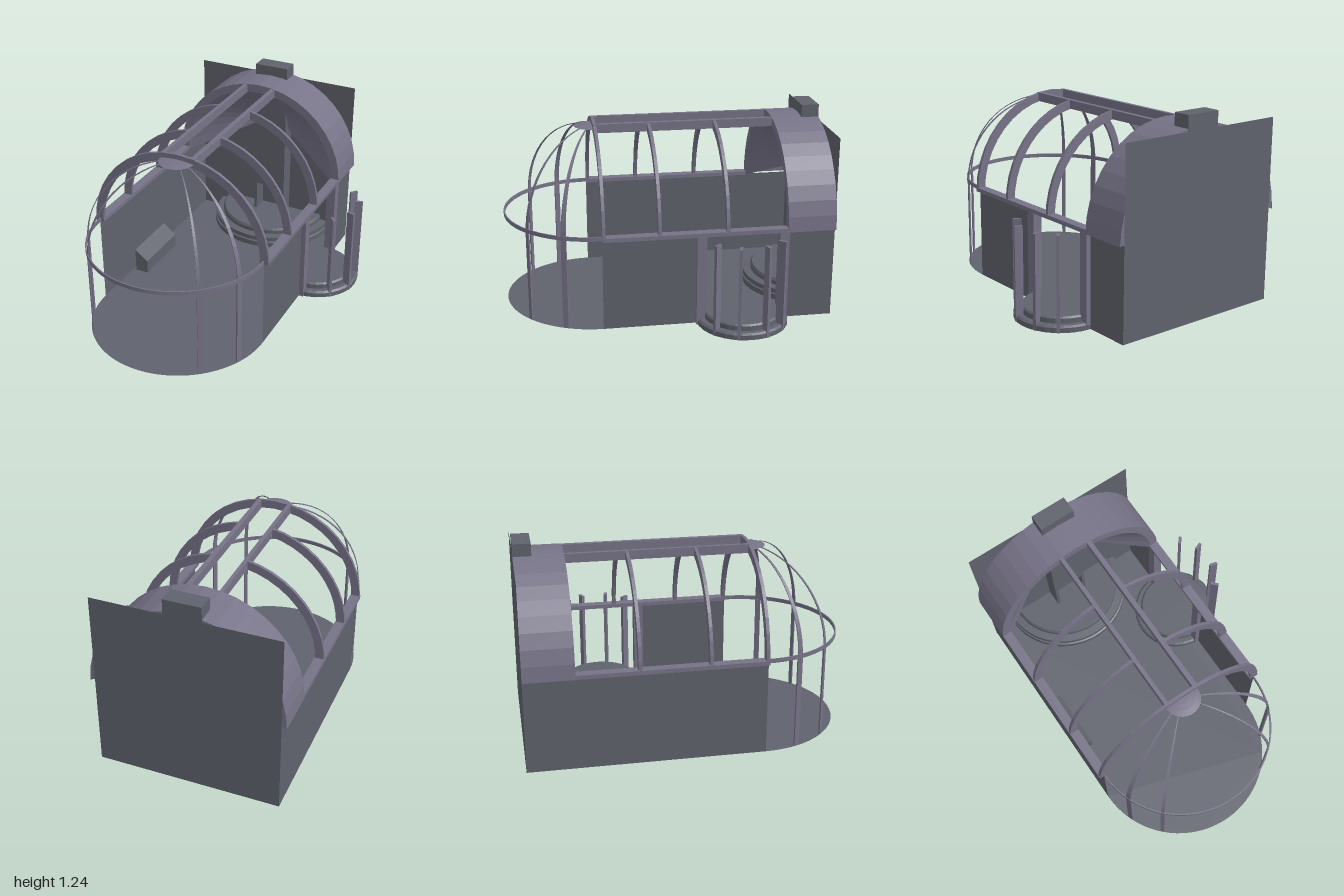
import * as THREE from 'three';

const CX = -0.13, SPRING = 0.575, APSE_Z = 0.43;

export function createModel() {
  const model = new THREE.Group();
  const material = (color) => new THREE.MeshStandardMaterial({ color, flatShading: true, side: THREE.DoubleSide });
  const slate = material(0x60636d), frame = material(0x777388);

  const add = (name, mat, geo, x = 0, y = 0, z = 0) => {
    const mesh = new THREE.Mesh(geo, mat);
    mesh.name = name;
    mesh.position.set(x, y, z);
    model.add(mesh);
    return mesh;
  };
  // Frame timber given by its minimum and maximum corners
  const beam = (name, x0, x1, y0, y1, z0, z1) =>
    add(name, frame, new THREE.BoxGeometry(x1 - x0, y1 - y0, z1 - z0), (x0 + x1) / 2, (y0 + y1) / 2, (z0 + z1) / 2);
  const extrude = (shape, depth, curveSegments = 12) =>
    new THREE.ExtrudeGeometry(shape, { depth, bevelEnabled: false, curveSegments });
  // Grid of triangles through rows of points with equal length
  const loft = (rows) => {
    const n = rows[0].length, index = [];
    for (let i = 0; i < rows.length - 1; i++)
      for (let j = 0; j < n - 1; j++) {
        const a = i * n + j, b = a + n;
        index.push(a, b, a + 1, a + 1, b, b + 1);
      }
    const geo = new THREE.BufferGeometry();
    geo.setAttribute('position', new THREE.Float32BufferAttribute(rows.flat(2), 3));
    geo.setIndex(index);
    geo.computeVertexNormals();
    return geo;
  };

  // Floor: hall with a semicircular apse
  const floor = new THREE.Shape();
  floor.moveTo(0.44, 1);
  floor.lineTo(-0.7, 1);
  floor.lineTo(-0.7, -APSE_Z);
  floor.absarc(CX, -APSE_Z, 0.57, Math.PI, 2 * Math.PI, false);
  add('floor', slate, new THREE.ShapeGeometry(floor, 20)).rotation.x = -Math.PI / 2;

  // Thin walls
  const wall = (name, x, z0, z1) => {
    add(name, slate, new THREE.PlaneGeometry(z1 - z0, SPRING), x, SPRING / 2, (z0 + z1) / 2).rotation.y = Math.PI / 2;
  };
  wall('solidSideWall', -0.7, -1, APSE_Z);
  wall('baySideWallFront', 0.44, -0.17, APSE_Z);
  wall('baySideWallBack', 0.44, -1, -0.68);
  add('backWall', slate, new THREE.PlaneGeometry(1.14, 1.145), CX, 1.145 / 2, -1);

  // Wall plates and bay jambs
  beam('wallPlate', 0.41, 0.47, SPRING, 0.6, -0.7, APSE_Z);
  beam('wallPlate', -0.73, -0.67, SPRING, 0.6, -0.7, APSE_Z);
  beam('bayJamb', 0.41, 0.47, 0, SPRING, -0.2, -0.14);
  beam('bayJamb', 0.41, 0.47, 0, SPRING, -0.71, -0.65);

  // Roof ribs and twin ridge beams
  const arch = (name, a0, a1, z, segments) => {
    const s = new THREE.Shape();
    s.absarc(0, 0, 0.598, a0, a1, false);
    s.absarc(0, 0, 0.545, a1, a0, true);
    add(name, frame, extrude(s, 0.02, segments), CX, SPRING, z);
  };
  arch('frontArch', 0, Math.PI, 0.41, 10);
  const crown = Math.acos(0.1 / 0.57);
  for (const z of [0.075, -0.34]) {
    arch('roofRib', 0, crown, z, 5);
    arch('roofRib', Math.PI - crown, Math.PI, z, 5);
  }
  beam('ridgeBeam', -0.24, -0.215, 1.11, 1.165, -0.7, APSE_Z);
  beam('ridgeBeam', -0.045, -0.015, 1.11, 1.165, -0.7, APSE_Z);

  // Rear vault: barrel outside, funnel narrowing to the back wall inside
  const N = 20;
  const arc = (r, z, cy = SPRING) => Array.from({ length: N + 1 }, (_, i) => {
    const a = Math.PI * i / N;
    return [CX + r * Math.cos(a), cy + r * Math.sin(a), z];
  });
  add('rearVault', frame, loft([arc(0.6, -1), arc(0.6, -0.7), arc(0.545, -0.7), arc(0.001, -0.998, 0.84)]));
  add('vaultBackCap', frame, loft([arc(0.6, -0.999), arc(0.001, -0.999, 0.84)]));

  // Chimney breast with a fireplace opening
  const breast = new THREE.Shape();
  breast.moveTo(-0.24, 0);
  breast.lineTo(-0.01, 0);
  breast.lineTo(-0.01, 1.24);
  breast.lineTo(-0.24, 1.24);
  const opening = new THREE.Path();
  opening.moveTo(-0.22, 0.1);
  opening.lineTo(-0.22, 0.32);
  opening.lineTo(-0.03, 0.32);
  opening.lineTo(-0.03, 0.1);
  breast.holes.push(opening);
  add('chimney', slate, extrude(breast, 0.11), 0, 0, -1);

  // Stepped platforms; the bay has a hollow curb under a raised disc
  const lathe = (name, profile, x, z, start = 0, length = 2 * Math.PI) => add(name, slate,
    new THREE.LatheGeometry(profile.map(([r, y]) => new THREE.Vector2(r, y)), 32, start, length), x, 0, z);
  lathe('hearthPlatform', [[0, 0], [0.43, 0], [0.43, 0.035], [0.42, 0.04], [0.42, 0.07], [0.37, 0.075],
    [0.37, 0.1], [0.36, 0.115], [0, 0.115]], CX, -1, -Math.PI / 2, Math.PI);
  lathe('bayCurb', [[0.235, 0.04], [0.235, 0], [0.283, 0], [0.283, 0.03], [0.27, 0.04], [0.235, 0.04]], 0.44, -0.43);
  lathe('bayDisc', [[0, 0.04], [0.24, 0.04], [0.24, 0.07], [0.23, 0.08], [0, 0.08]], 0.44, -0.43);

  // Upright fins around the bay
  for (const deg of [-50, -21, 16, 48]) {
    const a = deg * Math.PI / 180;
    add('bayPost', frame, new THREE.BoxGeometry(0.05, 0.58, 0.018),
      0.44 + 0.26 * Math.cos(a), 0.29, -0.43 + 0.26 * Math.sin(a)).rotation.y = -a;
  }

  // Slope-topped bench against the solid wall
  const bench = new THREE.Shape([[-0.68, 0], [-0.59, 0], [-0.59, 0.09], [-0.68, 0.16]].map(p => new THREE.Vector2(...p)));
  add('bench', slate, extrude(bench, 0.39), 0, 0, -0.32);

  // Apse ring and shallow domed crown
  const ring = new THREE.Shape();
  ring.absarc(0, 0, 0.57, Math.PI, 2 * Math.PI, false);
  ring.absarc(0, 0, 0.562, 2 * Math.PI, Math.PI, true);
  add('apseRing', frame, extrude(ring, 0.025, 16), CX, SPRING, APSE_Z).rotation.x = -Math.PI / 2;
  add('apseCrown', frame, new THREE.SphereGeometry(0.567, 16, 3, 0, Math.PI, 0, 0.195), CX, SPRING, APSE_Z);

  // Apse posts with thin tapering ribs above: angle and width
  for (const [deg, width] of [[23.5, 0.034], [50, 0.024], [135.6, 0.024], [158.8, 0.034]]) {
    const a = deg * Math.PI / 180;
    const strut = new THREE.Group();
    strut.name = 'apseStrut';
    strut.position.set(CX, 0, APSE_Z);
    strut.rotation.y = -a;
    const post = new THREE.Mesh(new THREE.BoxGeometry(0.01, SPRING, width), frame);
    post.name = 'apsePost';
    post.position.set(0.563, SPRING / 2, 0);
    const rows = [];
    for (let i = 0; i <= 14; i++) {
      const t = i / 14 * (Math.PI / 2 - 0.17), w = width / 2 * (1 - 0.8 * i / 14);
      const p = (r, s) => [r * Math.cos(t), SPRING + r * Math.sin(t), s * w];
      rows.push([p(0.567, -1), p(0.567, 1), p(0.562, 1), p(0.562, -1), p(0.567, -1)]);
    }
    const rib = new THREE.Mesh(loft(rows), frame);
    rib.name = 'apseRib';
    strut.add(post, rib);
    model.add(strut);
  }

  return model;
}
